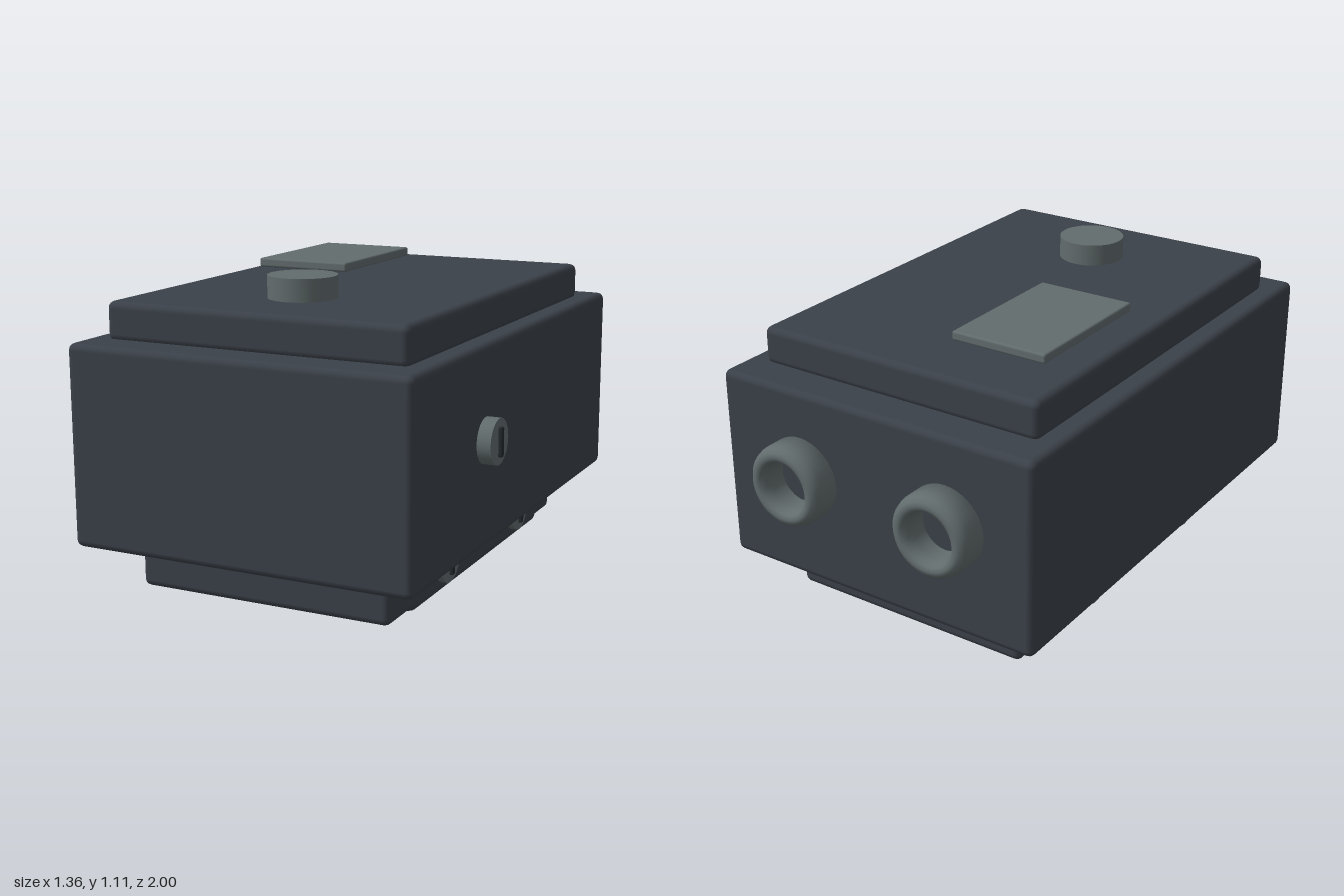
import * as THREE from 'three';
import { RoundedBoxGeometry } from 'three/addons/geometries/RoundedBoxGeometry.js';

export function createModel() {
  const group = new THREE.Group();
  const material = (name, color) => {
    const m = new THREE.MeshStandardMaterial({ color });
    m.name = name;
    return m;
  };
  const casing = material('dark casing', 0x3b4149);
  const metal = material('grey metal', 0x626c6d);
  const slotDark = material('dark slot', 0x24292c);

  const add = (name, geometry, mat, x, y, z, parent = group) => {
    const mesh = new THREE.Mesh(geometry, mat);
    mesh.name = name;
    mesh.position.set(x, y, z);
    parent.add(mesh);
    return mesh;
  };
  // Box with softened edges, given by its limits
  const block = (name, mat, [x0, x1], [y0, y1], [z0, z1], r) =>
    add(name, new RoundedBoxGeometry(x1 - x0, y1 - y0, z1 - z0, 2, r), mat,
      (x0 + x1) / 2, (y0 + y1) / 2, (z0 + z1) / 2);

  const cx = -0.04;

  // Main case and raised lid
  block('body', casing, [-0.68, 0.60], [0.185, 0.90], [-0.89, 1.0], 0.026);
  block('lid', casing, [-0.605, 0.525], [0.89, 1.03], [-0.75, 0.87], 0.026);

  // Clip-on base with a thicker rail along each side
  block('base', casing, [-0.52, 0.44], [0.015, 0.165], [-0.72, 0.83], 0.025);
  for (const side of [-1, 1]) {
    const x = cx + side * 0.427;
    block('baseRail', casing, [x - 0.065, x + 0.065], [0.005, 0.172], [-0.55, 0.66], 0.035);
  }
  add('basePlate', new THREE.BoxGeometry(0.6, 0.009, 0.3), metal, cx, 0.012, 0.055);

  // Top plate and button
  block('topPlate', metal, [-0.49, -0.12], [1.052, 1.086], [-0.53, 0.03], 0.008);
  add('button', new THREE.CylinderGeometry(0.122, 0.122, 0.09, 40), metal, cx, 1.065, 0.51);

  // Two open eyepieces on the back
  const eyepieceProfile = [
    [0.09, -0.01], [0.15, -0.01], [0.15, 0.07], [0.144, 0.092], [0.13, 0.107],
    [0.115, 0.11], [0.1, 0.105], [0.09, 0.085], [0.088, 0.06], [0.09, -0.01],
  ].map(([r, h]) => new THREE.Vector2(r, h));
  for (const x of [-0.345, 0.26]) {
    add('eyepiece', new THREE.LatheGeometry(eyepieceProfile, 40), metal, x, 0.58, -0.89)
      .rotation.x = -Math.PI / 2;
  }

  // Slotted screw heads facing +x
  const screw = (name, x, y, z) => {
    const head = new THREE.Group();
    head.name = name;
    head.position.set(x, y, z);
    group.add(head);
    add('screwHead', new THREE.CylinderGeometry(0.081, 0.081, 0.05, 32), metal, 0, 0, 0, head)
      .rotation.z = Math.PI / 2;
    add('screwSlot', new RoundedBoxGeometry(0.05, 0.105, 0.02, 2, 0.006), slotDark, 0.014, 0, 0, head);
  };
  screw('sideScrew', 0.639, 0.58, 0.44);
  for (const z of [0.4, -0.28]) {
    screw('baseScrewLeft', 0.45, 0.125, z);
    screw('baseScrewRight', -0.535, 0.125, z);
  }

  return group;
}
